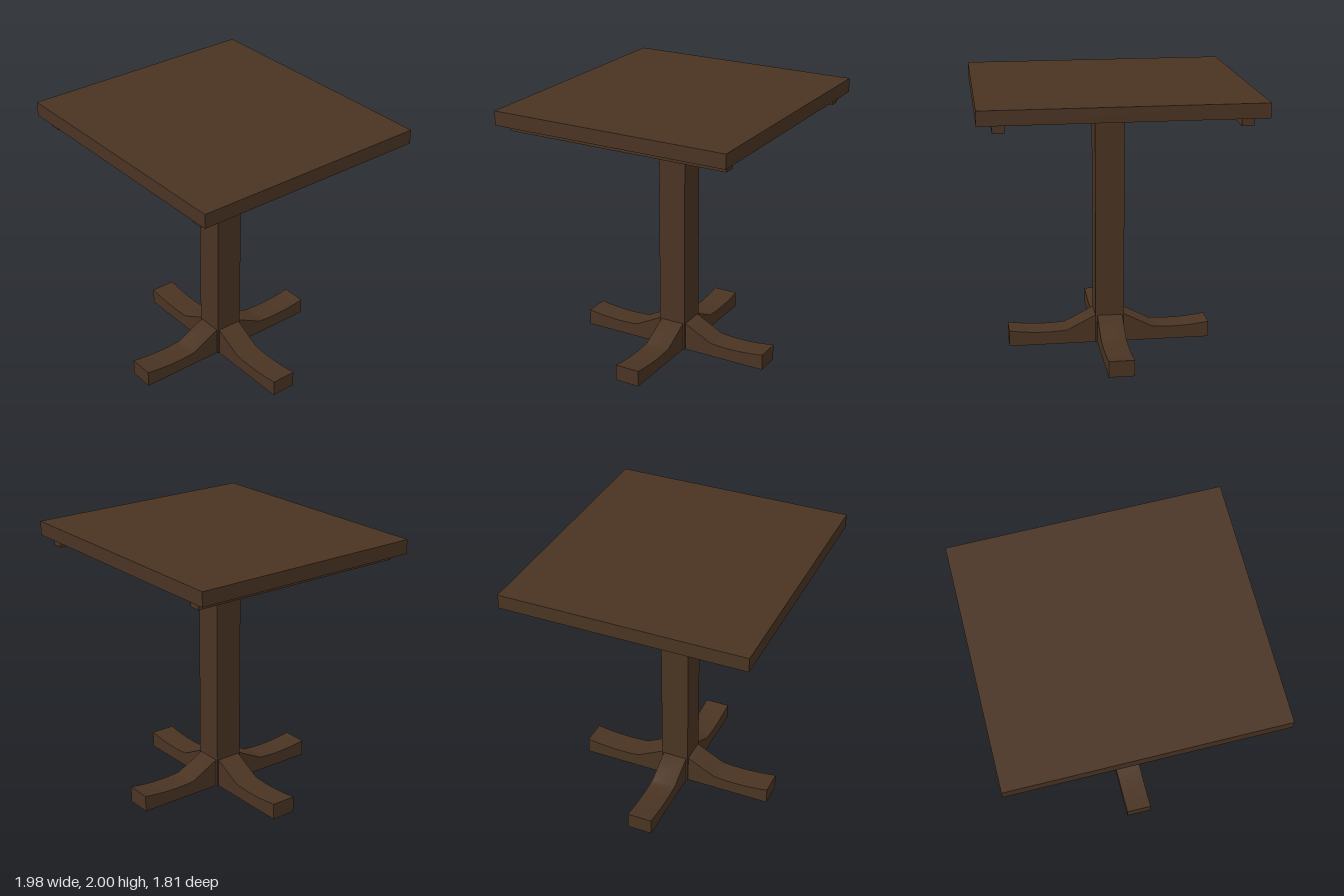
import * as THREE from 'three';
import { toCreasedNormals } from 'three/addons/utils/BufferGeometryUtils.js';

const TOP_Y = 1.895;

// Removes the faces lying on the floor, leaving a hollow underside
function openBottom(geometry) {
  const source = geometry.index ? geometry.toNonIndexed() : geometry;
  const p = source.attributes.position;
  const kept = [];
  for (let i = 0; i < p.count; i += 3) {
    const onFloor = [0, 1, 2].every((k) => Math.abs(p.getY(i + k)) < 1e-4);
    if (onFloor) continue;
    for (let k = 0; k < 3; k++) kept.push(p.getX(i + k), p.getY(i + k), p.getZ(i + k));
  }
  const result = new THREE.BufferGeometry();
  result.setAttribute('position', new THREE.Float32BufferAttribute(kept, 3));
  return toCreasedNormals(result, 0.7);
}

export function createModel() {
  const table = new THREE.Group();
  table.name = 'pedestalTable';
  const wood = new THREE.MeshStandardMaterial({ color: 0x4a3423 });
  wood.name = 'dark wood';
  const hollowWood = wood;
  hollowWood.side = THREE.DoubleSide;

  const add = (name, geometry, x = 0, y = 0, z = 0) => {
    const mesh = new THREE.Mesh(geometry, wood);
    mesh.name = name;
    mesh.position.set(x, y, z);
    table.add(mesh);
    return mesh;
  };

  // Table top
  add('tableTop', new THREE.BoxGeometry(1.98, 2 - TOP_Y, 1.81), 0, (2 + TOP_Y) / 2, 0);

  // Battens under the left and right edges
  for (const side of [-1, 1]) {
    add(side > 0 ? 'leftBatten' : 'rightBatten',
      new THREE.BoxGeometry(0.084, 0.06, 1.714), side * 0.843, TOP_Y - 0.03, 0);
  }

  // Square column, open at the floor
  const column = new THREE.BoxGeometry(0.216, TOP_Y, 0.216);
  column.translate(0, TOP_Y / 2, 0);
  add('column', openBottom(column));

  // Foot profile: sloped shoulder, then a shallow dip rising to the toe
  const profile = new THREE.Shape();
  profile.moveTo(0.1, 0);
  profile.lineTo(0.765, 0);
  profile.lineTo(0.765, 0.123);
  profile.quadraticCurveTo(0.53, 0.085, 0.325, 0.108);
  profile.lineTo(0.108, 0.22);
  profile.lineTo(0.1, 0.22);
  profile.closePath();
  const width = 0.19;
  const foot = new THREE.ExtrudeGeometry(profile, { depth: width, bevelEnabled: false, curveSegments: 8 });
  foot.translate(0, 0, -width / 2);
  const footGeometry = openBottom(foot);

  // Four feet in a cross
  ['leftFoot', 'backFoot', 'rightFoot', 'frontFoot'].forEach((name, i) => {
    add(name, footGeometry).rotation.y = (i * Math.PI) / 2;
  });

  return table;
}
